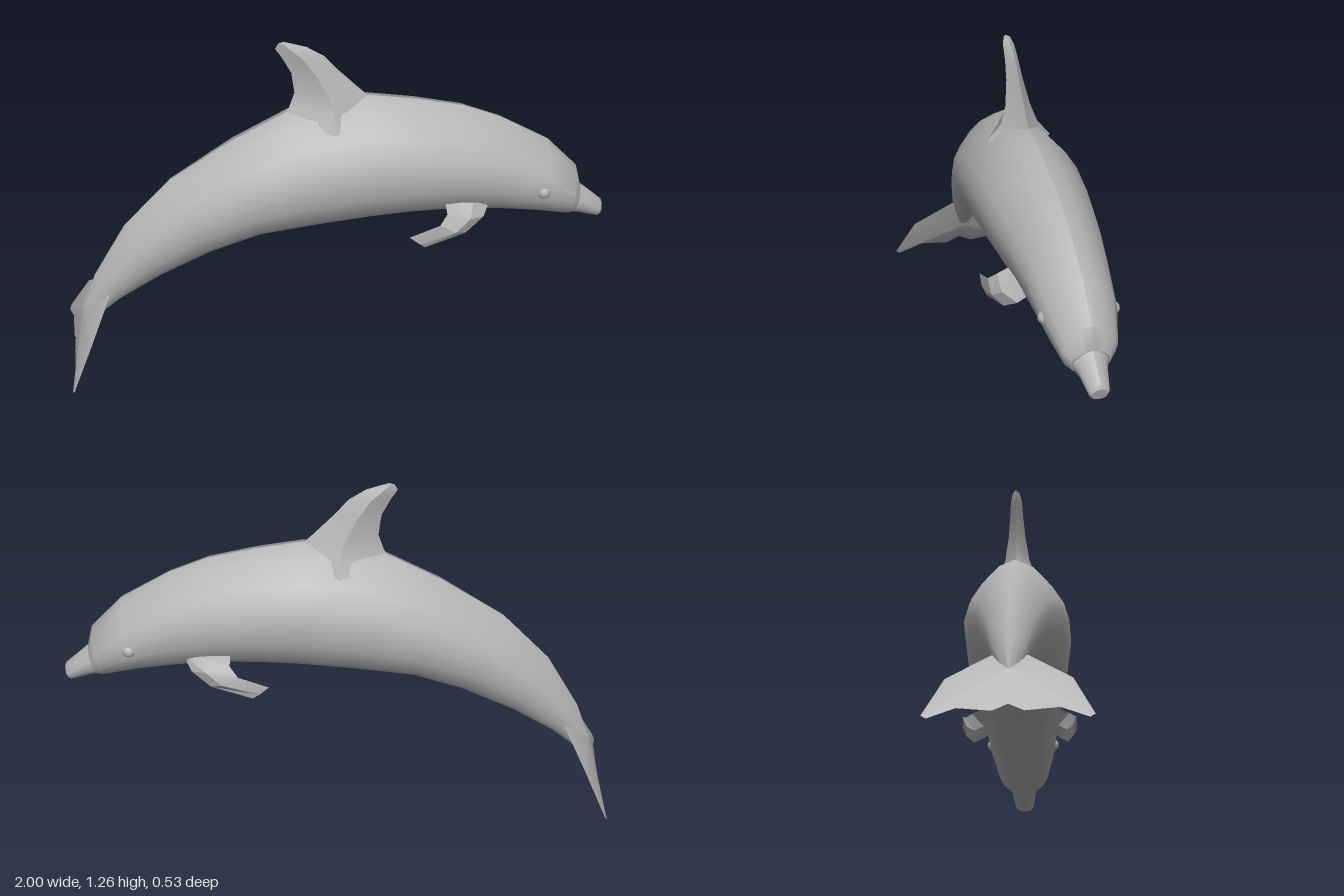
import * as THREE from 'three';
import { toCreasedNormals } from 'three/addons/utils/BufferGeometryUtils.js';

// Skin a list of equal-length rings, capping both ends
function loft(rings, crease) {
  const n = rings[0].length, pos = rings.flat(2), idx = [];
  for (let i = 0; i < rings.length - 1; i++) {
    for (let j = 0; j < n; j++) {
      const a = i * n + j, b = i * n + (j + 1) % n;
      idx.push(a, b, a + n, b, b + n, a + n);
    }
  }
  [0, rings.length - 1].forEach((r, end) => {
    const c = pos.length / 3;
    for (let k = 0; k < 3; k++) pos.push(rings[r].reduce((s, p) => s + p[k], 0) / n);
    for (let j = 0; j < n; j++) {
      const a = r * n + j, b = r * n + (j + 1) % n;
      if (end) idx.push(c, a, b); else idx.push(c, b, a);
    }
  });
  return finish(pos, idx, crease);
}

function finish(pos, idx, crease) {
  const g = new THREE.BufferGeometry();
  g.setAttribute('position', new THREE.Float32BufferAttribute(pos, 3));
  g.setIndex(idx);
  return toCreasedNormals(g, crease);
}

// Half cross-section: [fraction of half width, fraction of height]
const HALF = [[0, 1], [0.33, 0.94], [0.68, 0.78], [0.9, 0.64], [1, 0.5],
  [0.95, 0.32], [0.8, 0.15], [0.45, 0.02], [0, 0]];
const PROFILE = [...HALF, ...HALF.slice(1, -1).reverse().map(([w, h]) => [-w, h])];

// Ring between a back point and a belly point
const bodyRing = ([tx, ty, bx, by, w]) =>
  PROFILE.map(([u, v]) => [bx + (tx - bx) * v, by + (ty - by) * v, u * w]);

export function createModel() {
  const group = new THREE.Group();
  const grey = new THREE.MeshStandardMaterial({ color: 0xb4b4b4 });
  grey.name = 'grey skin';
  const add = (name, geometry) => {
    const mesh = new THREE.Mesh(geometry, grey);
    mesh.name = name;
    group.add(mesh);
    return mesh;
  };

  // Body, tail to forehead: back x, y, belly x, y, half width
  add('body', loft([
    [-0.95, 0.17, -0.91, 0.14, 0.012],
    [-0.89, 0.34, -0.8, 0.24, 0.055],
    [-0.77, 0.55, -0.65, 0.34, 0.09],
    [-0.6, 0.73, -0.46, 0.44, 0.127],
    [-0.37, 0.88, -0.28, 0.51, 0.167],
    [-0.17, 0.985, -0.08, 0.54, 0.19],
    [0.12, 1.03, 0.12, 0.56, 0.196],
    [0.29, 1.0, 0.26, 0.565, 0.186],
    [0.46, 0.96, 0.44, 0.56, 0.166],
    [0.6, 0.9, 0.6, 0.54, 0.147],
    [0.78, 0.79, 0.74, 0.515, 0.128],
    [0.89, 0.67, 0.85, 0.485, 0.098],
    [0.91, 0.59, 0.87, 0.485, 0.07],
  ].map(bodyRing), 0.65));

  // Beak
  add('beak', loft([
    [0.89, 0.605, 0.85, 0.485, 0.072],
    [0.93, 0.57, 0.9, 0.472, 0.05],
    [0.995, 0.51, 0.975, 0.447, 0.036],
    [1, 0.495, 0.985, 0.45, 0.028],
  ].map(bodyRing), 0.6));

  // Dorsal fin: height, rear x, front x, half thickness
  add('dorsalFin', loft([
    [0.94, -0.2, 0.17, 0.115],
    [1.0, -0.165, 0.145, 0.066],
    [1.06, -0.145, 0.085, 0.045],
    [1.14, -0.155, 0.01, 0.03],
    [1.2, -0.185, -0.04, 0.024],
    [1.24, -0.21, -0.1, 0.02],
    [1.26, -0.2, -0.16, 0.012],
  ].map(([y, r, f, t]) => {
    const m = (r + f) / 2;
    return [[r, y, 0], [m, y, t], [f, y, 0], [m, y, -t]];
  }), 0.6));

  // Tail flukes: a rim fanned to an upper and a lower centre
  const side = [[-0.84, 0.285, 0.06], [-0.917, 0.17, 0.2], [-0.993, 0.013, 0.267],
    [-1, 0, 0.25], [-0.985, 0.04, 0.16], [-0.985, 0.03, 0.05]];
  const rim = [[-0.87, 0.27, 0], ...side, [-0.98, 0.055, 0],
    ...[...side].reverse().map(([x, y, z]) => [x, y, -z])];
  const n = rim.length, fan = [];
  for (let j = 0; j < n; j++) {
    const k = (j + 1) % n;
    fan.push(n, k, j, n + 1, j, k);
  }
  add('tailFlukes', finish([...rim, [-0.945, 0.19, 0], [-0.89, 0.15, 0]].flat(), fan, 0.5));

  // Flippers: leading edge, trailing edge, half thickness
  const flipper = [
    [[0.55, 0.62, 0.11], [0.38, 0.645, 0.13], 0.025],
    [[0.52, 0.575, 0.15], [0.38, 0.62, 0.185], 0.024],
    [[0.45, 0.53, 0.18], [0.35, 0.59, 0.21], 0.018],
    [[0.3, 0.495, 0.202], [0.24, 0.55, 0.212], 0.007],
  ].map(([lead, trail, t]) => {
    const out = [0.3, -0.1, 0.95];
    const mid = (s) => out.map((o, k) => lead[k] * 0.55 + trail[k] * 0.45 + o * t * s);
    return [lead, mid(1), trail, mid(-1)];
  });
  add('leftSideFlipper', loft(flipper, 0.4));
  add('rightSideFlipper', loft(
    flipper.map((ring) => ring.map(([x, y, z]) => [x, y, -z]).reverse()), 0.4));

  // Eyes
  for (const s of [1, -1]) {
    add('eye', new THREE.SphereGeometry(0.024, 12, 8)).position.set(0.745, 0.64, 0.118 * s);
  }
  return group;
}
